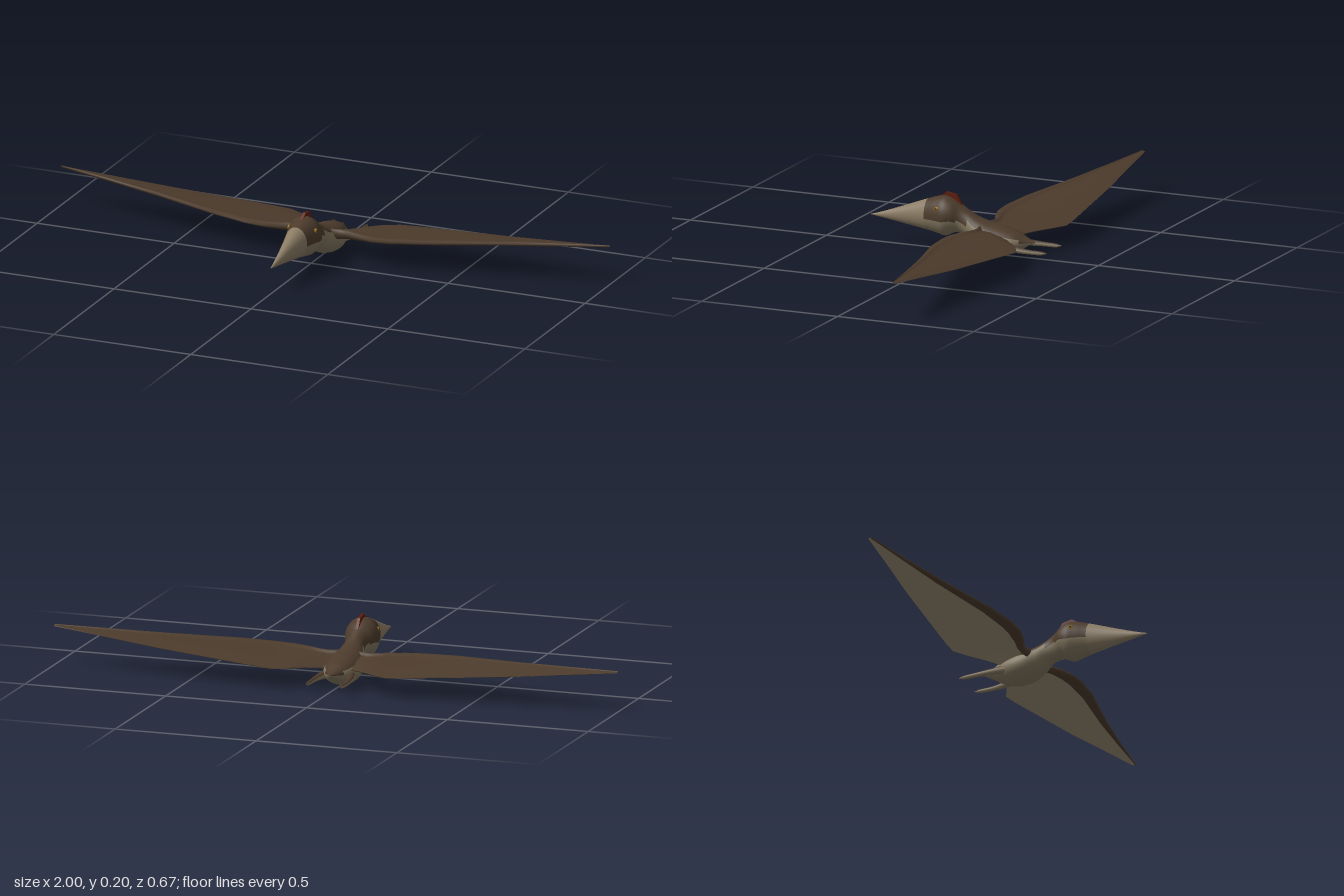
import * as THREE from 'three';

const mat = (name, color) => {
  const m = new THREE.MeshStandardMaterial({ color });
  m.name = name;
  return m;
};

// Skin closed rings together; pick(i, j) gives the material index of each quad
function loft(name, rings, mats, pick) {
  const n = rings[0].length, pos = [], buckets = mats.map(() => []);
  rings.forEach(r => r.forEach(p => pos.push(p.x, p.y, p.z)));
  for (let i = 0; i < rings.length - 1; i++) {
    for (let j = 0; j < n; j++) {
      const a = i * n + j, b = i * n + (j + 1) % n;
      buckets[pick(i, j)].push(a, a + n, b, b, a + n, b + n);
    }
  }
  const g = new THREE.BufferGeometry();
  g.setAttribute('position', new THREE.Float32BufferAttribute(pos, 3));
  g.setIndex(buckets.flat());
  let start = 0;
  buckets.forEach((b, k) => { g.addGroup(start, b.length, k); start += b.length; });
  g.computeVertexNormals();
  const mesh = new THREE.Mesh(g, mats);
  mesh.name = name;
  return mesh;
}

// Elliptical rings along z from stations [z, x, y, halfWidth, halfHeight]
function ovalRings(stations, steps, sides) {
  const path = new THREE.CatmullRomCurve3(stations.map(s => new THREE.Vector3(s[1], s[2], s[0])));
  const size = new THREE.CatmullRomCurve3(stations.map(s => new THREE.Vector3(s[3], s[4], s[0])));
  return Array.from({ length: steps + 1 }, (_, i) => {
    const c = path.getPoint(i / steps), r = size.getPoint(i / steps);
    return Array.from({ length: sides }, (_, j) => {
      const a = j / sides * Math.PI * 2;
      return new THREE.Vector3(c.x + Math.max(r.x, 0.0005) * Math.cos(a), c.y + Math.max(r.y, 0.0005) * Math.sin(a), c.z);
    });
  });
}

export function createModel() {
  const model = new THREE.Group();
  model.name = 'pterosaur';
  const brown = mat('brown hide', 0x4c3b2c);
  const belly = mat('pale belly', 0x82765f);
  const beak = mat('horn beak', 0x8a7b64);
  const under = mat('wing underside', 0x9a8c74);
  const red = mat('red crest', 0x5e1d0c);
  const gold = mat('gold eye', 0xa87816);
  const black = mat('black pupil', 0x14100c);

  // Beak, head, neck, trunk and tail as one skin
  const bodyRings = ovalRings([
    [0.336, 0, 0.09, 0.001, 0.001],
    [0.30, 0, 0.093, 0.007, 0.009],
    [0.228, 0, 0.101, 0.019, 0.027],
    [0.125, 0, 0.113, 0.04, 0.054],
    [0.085, 0, 0.116, 0.052, 0.064],
    [0.055, 0, 0.116, 0.059, 0.069],
    [0.025, 0, 0.117, 0.052, 0.056],
    [0.0, 0, 0.108, 0.038, 0.048],
    [-0.025, 0, 0.095, 0.036, 0.045],
    [-0.06, 0, 0.071, 0.048, 0.05],
    [-0.10, 0, 0.057, 0.061, 0.052],
    [-0.15, 0, 0.05, 0.061, 0.05],
    [-0.20, 0, 0.05, 0.047, 0.036],
    [-0.24, 0, 0.053, 0.02, 0.014],
    [-0.268, 0, 0.056, 0.002, 0.002],
  ], 84, 36);
  model.add(loft('body', bodyRings, [brown, belly, beak], (i, j) => {
    const z = bodyRings[i][0].z;
    if (z > 0.126) return 2;
    // Hide reaches below the eye on the head and only covers the back of the trunk
    const drop = z > 0.01 ? 1 : z > -0.03 ? 0 : z > -0.22 ? -3 : 0;
    return (j + 9) % 36 >= 9 - drop && (j + 9) % 36 < 27 + drop ? 0 : 1;
  }));

  // Crest plate on the skull
  const crestShape = new THREE.Shape([
    [0.09, 0.165], [0.08, 0.181], [0.056, 0.197], [0.02, 0.19], [0.0, 0.157], [0.03, 0.15],
  ].map(([z, y]) => new THREE.Vector2(-z, y)));
  const crestGeo = new THREE.ExtrudeGeometry(crestShape, { depth: 0.01, bevelEnabled: false });
  crestGeo.translate(0, 0, -0.005).rotateY(Math.PI / 2);
  const crest = new THREE.Mesh(crestGeo, red);
  crest.name = 'crest';
  model.add(crest);

  // Wing stations [x, leading z, leading y, trailing z, trailing y, thickness]
  const wing = [
    [0.03, -0.07, 0.085, -0.18, 0.06, 1.9],
    [0.07, -0.08, 0.086, -0.202, 0.064, 1.7],
    [0.10, -0.074, 0.089, -0.228, 0.068, 1.5],
    [0.14, -0.055, 0.092, -0.258, 0.07, 1.3],
    [0.20, -0.038, 0.095, -0.29, 0.07, 1.1],
    [0.26, -0.037, 0.098, -0.288, 0.074, 1.0],
    [0.38, -0.056, 0.105, -0.277, 0.083, 0.9],
    [0.62, -0.12, 0.117, -0.254, 0.1, 0.75],
    [0.82, -0.165, 0.127, -0.231, 0.118, 0.6],
    [1.00, -0.202, 0.136, -0.212, 0.134, 0.35],
  ];
  // Chord section: thick arm bone in front, thin membrane behind
  const section = [
    [0, 0], [0.03, 0.007], [0.08, 0.01], [0.13, 0.008], [0.17, 0.004], [0.45, 0.006], [0.75, 0.004], [1, 0.001],
    [1, -0.001], [0.75, 0.001], [0.45, 0.002], [0.17, -0.002], [0.12, -0.007], [0.07, -0.01], [0.02, -0.006],
  ];

  for (const s of [1, -1]) {
    const side = s > 0 ? 'left' : 'right';

    // Brown arm and upper face, pale membrane below
    const rings = wing.map(([x, lz, ly, tz, ty, k]) => section.map(([t, h]) =>
      new THREE.Vector3(s * x, ly + (ty - ly) * t + h * k, lz + (tz - lz) * t)));
    if (s < 0) rings.reverse();
    model.add(loft(side + 'Wing', rings, [brown, under], (i, j) => (j >= 8 && j <= 10 ? 1 : 0)));

    // Trailing hind leg
    const legRings = ovalRings([
      [-0.12, s * 0.03, 0.045, 0.012, 0.012],
      [-0.18, s * 0.043, 0.041, 0.016, 0.015],
      [-0.22, s * 0.055, 0.038, 0.012, 0.011],
      [-0.27, s * 0.061, 0.036, 0.008, 0.008],
      [-0.32, s * 0.06, 0.036, 0.006, 0.006],
      [-0.337, s * 0.059, 0.037, 0.001, 0.001],
    ], 25, 14);
    model.add(loft(side + 'Leg', legRings, [brown, belly], (i, j) => (j >= 1 && j <= 5 ? 0 : 1)));

    // Eye with pupil
    const eye = new THREE.Mesh(new THREE.SphereGeometry(0.008, 16, 12), gold);
    eye.name = side + 'Eye';
    eye.position.set(s * 0.047, 0.145, 0.072);
    const pupil = new THREE.Mesh(new THREE.SphereGeometry(0.0035, 12, 8), black);
    pupil.name = side + 'Pupil';
    pupil.position.set(s * 0.0055, 0.001, 0.001);
    eye.add(pupil);
    model.add(eye);
  }
  return model;
}
